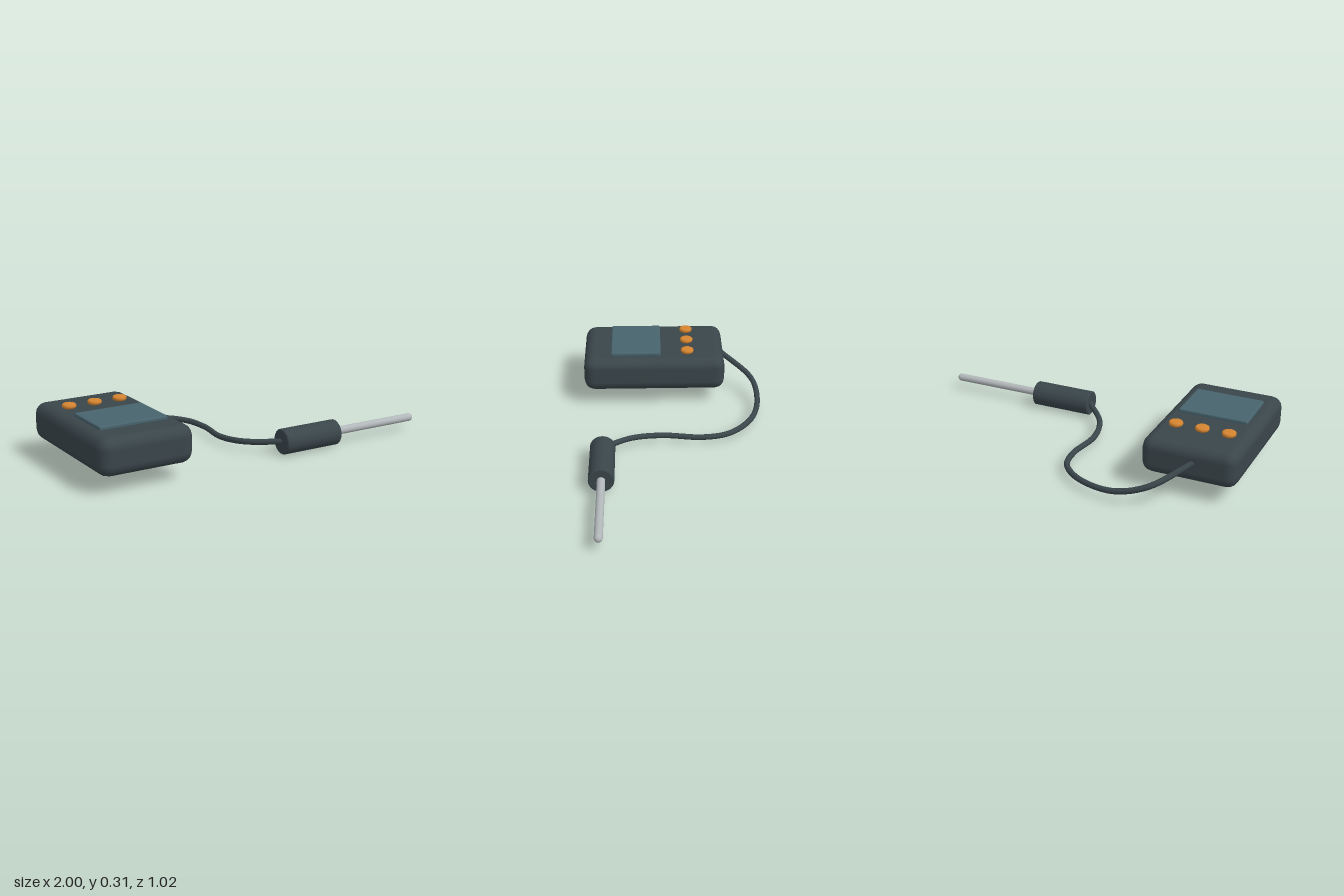
import * as THREE from 'three';
import { RoundedBoxGeometry } from 'three/addons/geometries/RoundedBoxGeometry.js';

const mat = (name, color) => {
  const m = new THREE.MeshStandardMaterial({ color });
  m.name = name;
  return m;
};

export function createModel() {
  const casing = mat('dark casing', 0x3a464b);
  const glass = mat('screen glass', 0x48646e);
  const orange = mat('orange button', 0xd58430);
  const metal = mat('probe metal', 0xb2b7ba);

  const group = new THREE.Group();
  const add = (name, geometry, material, x = 0, y = 0, z = 0) => {
    const mesh = new THREE.Mesh(geometry, material);
    mesh.name = name;
    mesh.position.set(x, y, z);
    group.add(mesh);
    return mesh;
  };
  const lathe = (points, sides) =>
    new THREE.LatheGeometry(points.map(([r, y]) => new THREE.Vector2(r, y)), sides);

  // Handheld unit
  add('body', new RoundedBoxGeometry(0.52, 0.2, 0.82, 2, 0.06), casing, -0.74, 0.19, 0.1);
  add('screen', new RoundedBoxGeometry(0.38, 0.024, 0.29, 2, 0.008), glass, -0.74, 0.297, 0.207);

  // Row of round buttons with softened rims
  const buttonGeometry = lathe([
    [0, -0.012], [0.03, -0.012], [0.036, -0.008], [0.038, 0],
    [0.036, 0.008], [0.03, 0.012], [0, 0.012],
  ], 24);
  for (const x of [-0.885, -0.74, -0.595]) {
    add('button', buttonGeometry, orange, x, 0.302, -0.093);
  }

  // Cable looping from the back of the unit to the handle
  const path = new THREE.CatmullRomCurve3([
    [-0.77, 0.205, -0.3], [-0.6, 0.115, -0.472], [-0.42, 0.06, -0.497],
    [-0.21, 0.047, -0.44], [-0.07, 0.04, -0.31], [-0.037, 0.036, -0.16],
    [-0.06, 0.038, 0.06], [-0.015, 0.05, 0.23], [0.12, 0.07, 0.39],
  ].map((p) => new THREE.Vector3(...p)));
  add('cable', new THREE.TubeGeometry(path, 72, 0.016, 10), casing);

  // Handle with a fine bevel at both ends
  const handle = add('probeHandle', lathe([
    [0, -0.175], [0.064, -0.175], [0.064, -0.175], [0.069, -0.17], [0.069, -0.17],
    [0.069, 0.17], [0.069, 0.17], [0.064, 0.175], [0.064, 0.175], [0, 0.175],
  ], 32), casing, 0.285, 0.07, 0.39);
  handle.rotation.z = -Math.PI / 2;

  // Metal probe with a rounded tip
  const probe = add('probe', new THREE.CapsuleGeometry(0.022, 0.516, 6, 20), metal, 0.72, 0.072, 0.39);
  probe.rotation.z = -Math.PI / 2;

  return group;
}
